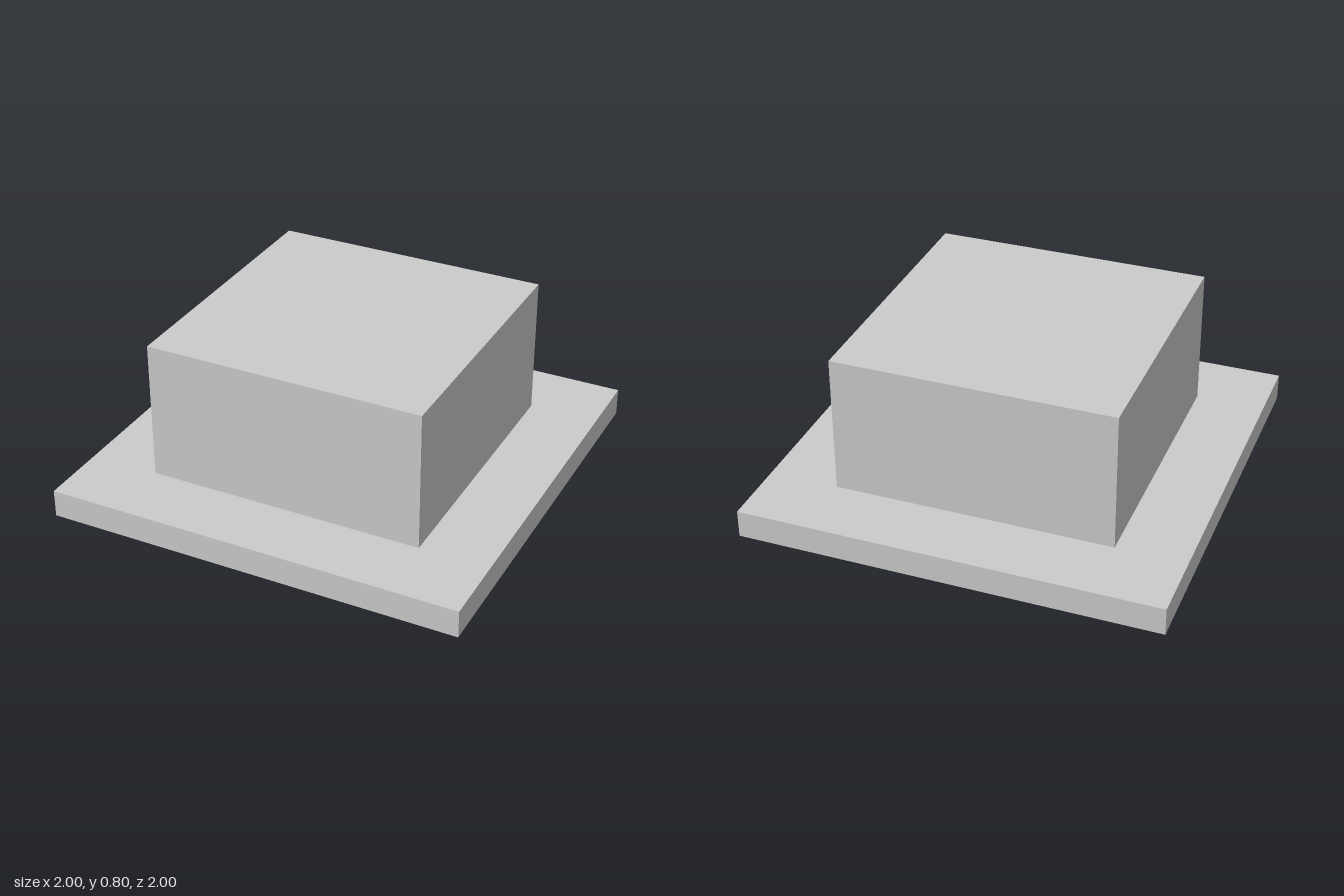
import * as THREE from 'three';

const BASE_HEIGHT = 0.133;
const TOTAL_HEIGHT = 0.8;

export function createModel() {
  const model = new THREE.Group();
  model.name = 'steppedBlock';
  const material = new THREE.MeshStandardMaterial({ color: 0xcccccc });

  // Square slab of the given width, spanning from bottom to top
  const addSlab = (name, width, bottom, top) => {
    const mesh = new THREE.Mesh(new THREE.BoxGeometry(width, top - bottom, width), material);
    mesh.name = name;
    mesh.position.y = (bottom + top) / 2;
    model.add(mesh);
  };

  // Thin wide plate on the ground
  addSlab('basePlate', 2, 0, BASE_HEIGHT);
  // Narrower block standing on the plate
  addSlab('upperBlock', 1.333, BASE_HEIGHT, TOTAL_HEIGHT);

  return model;
}
